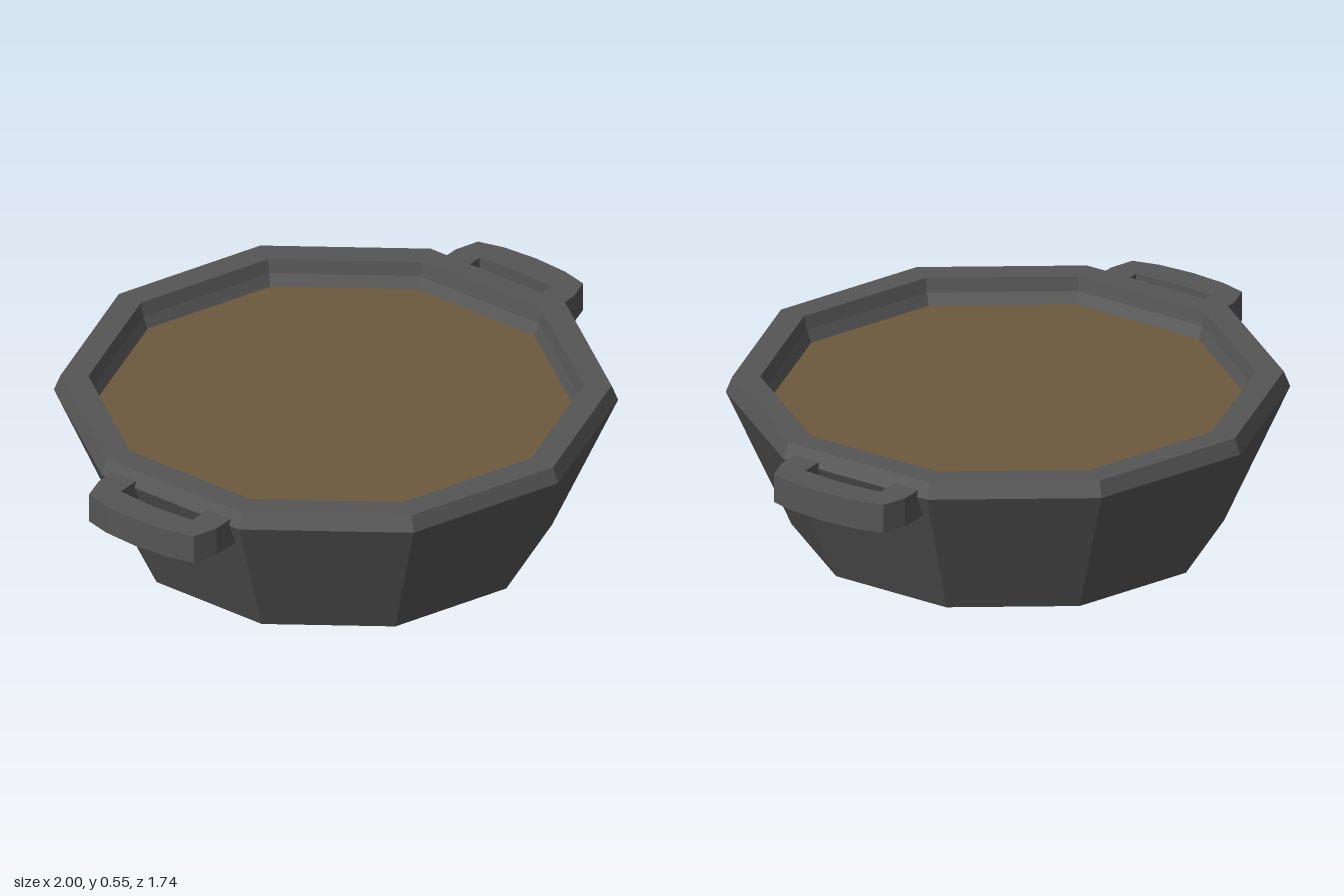
import * as THREE from 'three';

const SIDES = 10;
const iron = new THREE.MeshStandardMaterial({ color: 0x555555, flatShading: true });
const stew = new THREE.MeshStandardMaterial({ color: 0x6c5a3d, flatShading: true });

const toVectors = (pairs) => pairs.map(([a, b]) => new THREE.Vector2(a, b));

function addMesh(parent, name, geometry, material) {
  const mesh = new THREE.Mesh(geometry, material);
  mesh.name = name;
  parent.add(mesh);
  return mesh;
}

// Flat bracket, drawn in plan (x outward, y across) and extruded upward
function handleGeometry() {
  const half = [
    [0.77, 0.23], [0.89, 0.23], [0.97, 0.205], [0.992, 0.12], [1, 0],
  ];
  const inner = [[0.905, 0], [0.895, 0.14], [0.77, 0.14]];
  const mirror = (points) => points.map(([x, z]) => [x, -z]).reverse();
  const outline = [
    ...half, ...mirror(half).slice(1),
    ...mirror(inner), ...inner.slice(1),
  ];
  const geometry = new THREE.ExtrudeGeometry(new THREE.Shape(toVectors(outline)), {
    depth: 0.095, bevelEnabled: false,
  });
  return geometry.rotateX(-Math.PI / 2).translate(0, 0.42, 0);
}

export function createModel() {
  const pot = new THREE.Group();
  pot.name = 'cookingPot';

  // Ten-sided body: base, flared wall, bevelled rim, inner wall and floor
  const profile = [
    [0, 0], [0.545, 0], [0.665, 0.045], [0.868, 0.495], [0.848, 0.545],
    [0.762, 0.545], [0.752, 0.5], [0.735, 0.46], [0.6, 0.1], [0, 0.1],
  ];
  addMesh(pot, 'body', new THREE.LatheGeometry(toVectors(profile), SIDES), iron);

  // Contents, filling the pot to just below the rim
  const filling = new THREE.CylinderGeometry(0.736, 0.72, 0.03, SIDES);
  addMesh(pot, 'filling', filling.translate(0, 0.447, 0), stew);

  // A handle on each side
  const grip = handleGeometry();
  addMesh(pot, 'leftHandle', grip, iron);
  addMesh(pot, 'rightHandle', grip, iron).rotation.y = Math.PI;

  return pot;
}
